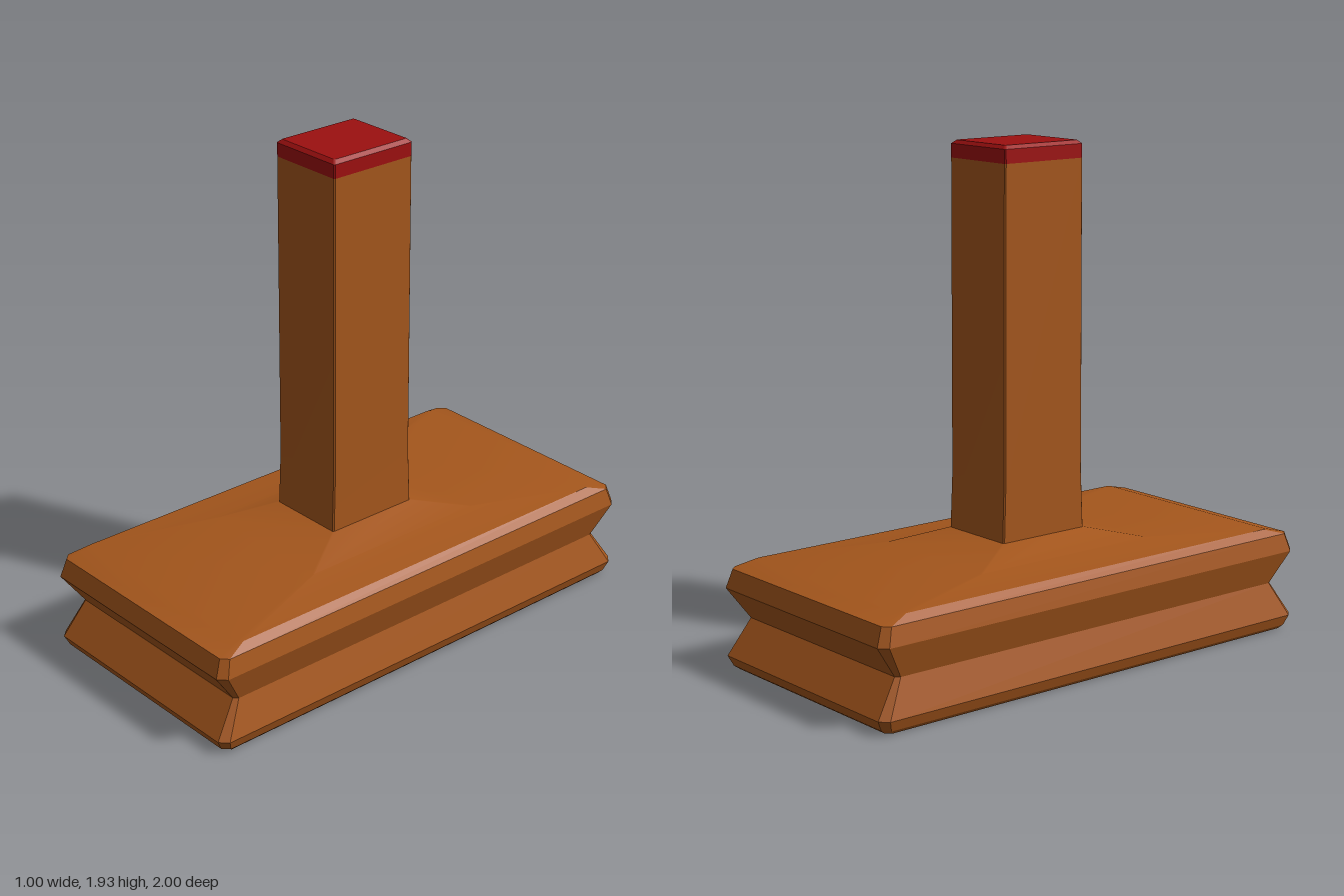
import * as THREE from 'three';
import { toCreasedNormals } from 'three/addons/utils/BufferGeometryUtils.js';

// Rectangle with cut corners, counter-clockwise seen from above
function ring([y, hx, hz, c]) {
  return [
    [hx, hz - c], [hx, c - hz], [hx - c, -hz], [c - hx, -hz],
    [-hx, c - hz], [-hx, hz - c], [c - hx, hz], [hx - c, hz],
  ].map(([x, z]) => [x, y, z]);
}

// Skin stacked sections [y, halfWidth, halfDepth, cornerCut], optionally closing the ends
function loft(name, sections, material, closeBottom, closeTop) {
  const rings = sections.map(ring);
  const n = 8;
  const index = [];
  for (let s = 0; s < rings.length - 1; s++) {
    for (let i = 0; i < n; i++) {
      const j = (i + 1) % n;
      const a = s * n + i, b = s * n + j, c = a + n, d = b + n;
      index.push(a, b, d, a, d, c);
    }
  }
  const top = (rings.length - 1) * n;
  for (let i = 1; i < n - 1; i++) {
    if (closeBottom) index.push(0, i + 1, i);
    if (closeTop) index.push(top, top + i, top + i + 1);
  }
  const geometry = new THREE.BufferGeometry();
  geometry.setAttribute('position', new THREE.Float32BufferAttribute(rings.flat(2), 3));
  geometry.setIndex(index);
  const mesh = new THREE.Mesh(toCreasedNormals(geometry, 0.35), material);
  mesh.name = name;
  return mesh;
}

export function createModel() {
  const group = new THREE.Group();
  group.name = 'handStamp';
  const wood = new THREE.MeshStandardMaterial({ color: 0xa4561c });
  const red = new THREE.MeshStandardMaterial({ color: 0x9c1010 });

  // Long block with a V groove around its sides and a raised shoulder
  group.add(loft('base', [
    [0, 0.47, 0.96, 0.02],
    [0.015, 0.485, 0.98, 0.025],
    [0.055, 0.5, 1, 0.03],
    [0.19, 0.46, 0.91, 0.015],
    [0.315, 0.5, 1, 0.03],
    [0.385, 0.485, 0.975, 0.025],
    [0.41, 0.455, 0.88, 0.015],
    [0.425, 0.285, 0.4, 0.005],
    [0.475, 0.16, 0.195, 0.005],
  ], wood, true, false));

  // Square handle, slightly flared at its foot
  group.add(loft('handle', [
    [0.475, 0.16, 0.195, 0.005],
    [0.69, 0.158, 0.187, 0.005],
    [1.87, 0.158, 0.184, 0.005],
  ], wood, false, false));

  // Painted tip with a bevelled rim
  group.add(loft('handleTip', [
    [1.87, 0.158, 0.184, 0.005],
    [1.922, 0.158, 0.184, 0.005],
    [1.935, 0.143, 0.17, 0.005],
  ], red, false, true));

  return group;
}
